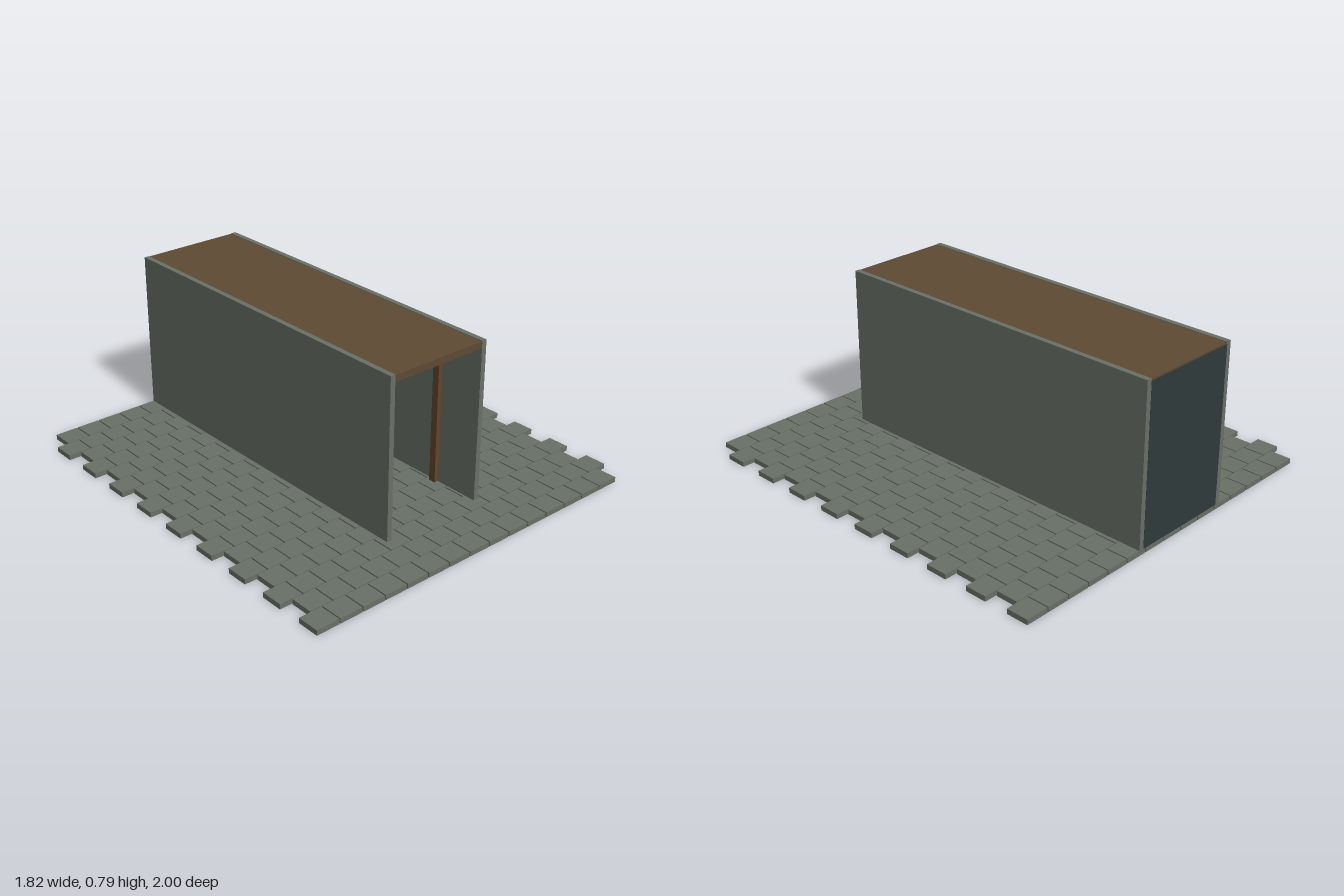
import * as THREE from 'three';

export function createModel() {
  const model = new THREE.Group();
  model.name = 'corridor';
  const mat = (name, color) => {
    const m = new THREE.MeshStandardMaterial({ color });
    m.name = name;
    return m;
  };
  const stone = mat('stone grey', 0x697067);
  const wood = mat('roof brown', 0x5e4a33);
  const timber = mat('timber brown', 0x62452a);
  const slate = mat('dark slate', 0x2f3a3a);
  const iron = mat('black iron', 0x1c2020);

  // Box given by its minimum and maximum on each axis
  const box = (name, material, [x0, x1], [y0, y1], [z0, z1], parent = model) => {
    const mesh = new THREE.Mesh(new THREE.BoxGeometry(x1 - x0, y1 - y0, z1 - z0), material);
    mesh.position.set((x0 + x1) / 2, (y0 + y1) / 2, (z0 + z1) / 2);
    mesh.name = name;
    parent.add(mesh);
    return mesh;
  };

  // Paving in running bond
  const rows = 18, columns = 15, rowPitch = 2 / rows, pitch = 0.118, gap = 0.006, top = 0.024;
  const paving = new THREE.Group();
  paving.name = 'paving';
  model.add(paving);
  for (let r = 0; r < rows; r++) {
    const start = r % 2 ? -0.917 : -0.858;
    const z = -1 + r * rowPitch;
    for (let c = 0; c < columns; c++) {
      const x = start + c * pitch;
      box('pavingStone', stone, [x, x + pitch - gap], [0, top], [z, z + rowPitch - gap * 0.8], paving);
    }
  }

  // Side walls, roof and closed rear end
  const length = [-1, 0.72];
  box('rightWall', stone, [-0.302, -0.277], [top, 0.79], length);
  box('leftWall', stone, [0.215, 0.24], [top, 0.79], length);
  box('roof', wood, [-0.277, 0.215], [0.756, 0.788], length);
  box('backWall', slate, [-0.277, 0.215], [top, 0.78], [-0.999, -0.975]).position.z -= 0.002;

  // Timber support frames inside the passage
  for (const z of [0.48, 0.1]) {
    const frame = new THREE.Group();
    frame.name = 'supportFrame';
    model.add(frame);
    const depth = [z - 0.017, z + 0.017];
    box('post', timber, [-0.277, -0.256], [top, 0.72], depth, frame);
    box('post', timber, [0.194, 0.215], [top, 0.72], depth, frame);
    box('lintel', timber, [-0.277, 0.215], [0.72, 0.756], depth, frame);
  }

  // Rack on the right wall
  box('wallRack', iron, [-0.277, -0.246], [0.26, 0.435], [0.02, 0.07]);
  box('rackFoot', iron, [-0.277, -0.25], [0.235, 0.25], [0.03, 0.06]);

  // Shelf on the left wall with a flat tray
  box('shelf', timber, [0.06, 0.215], [0.193, 0.206], [-0.4, -0.1]);
  box('tray', stone, [0.072, 0.16], [0.206, 0.22], [-0.3, -0.18]);

  return model;
}
